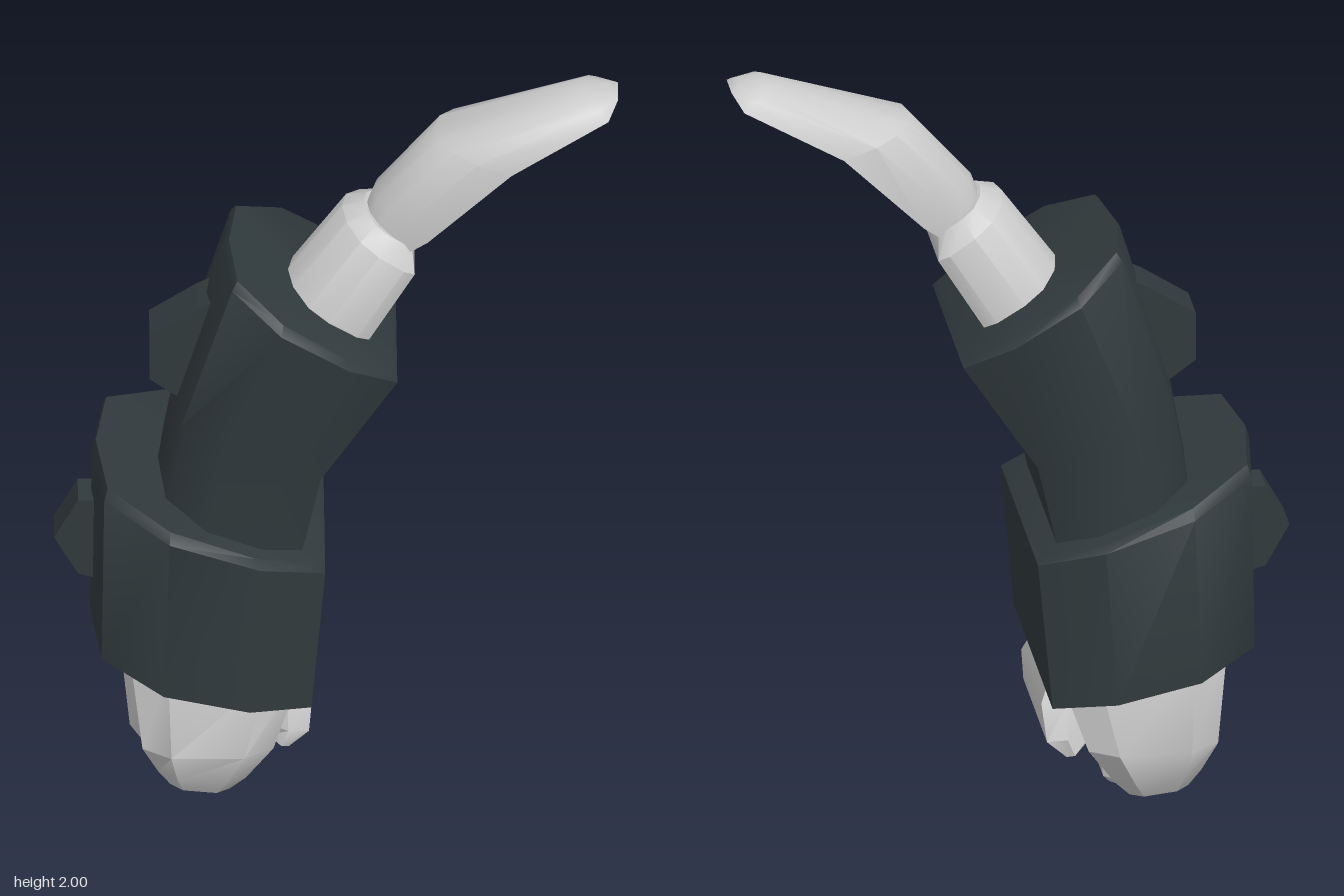
import * as THREE from 'three';
import { toCreasedNormals } from 'three/addons/utils/BufferGeometryUtils.js';

const grey = new THREE.MeshStandardMaterial({ color: 0xcccccc });
const dark = new THREE.MeshStandardMaterial({ color: 0x30393c });

// Half outlines [u, w]: u runs from the back edge (0) to the front edge (1), w is the half width.
const SLEEVE = [[0, 0], [0.05, 0.62], [0.33, 0.97], [0.72, 1], [1, 0.82]];
const NECK = [[0, 0], [0.06, 0.45], [0.25, 0.85], [0.5, 1], [0.85, 1], [1, 0.88]];
const BLADE = [[0, 0], [0.06, 0.4], [0.25, 0.72], [0.55, 0.93], [1, 1]];
const JAW = [[0, 0.6], [0.22, 1], [0.78, 1], [1, 0.6]];
const PLATE = [[0, 0.8], [0.6, 1], [1, 0.95]];

// Mirrors a half outline into a closed loop.
function closed(half) {
  const back = half.filter(([, w]) => w > 0).reverse().map(([u, w]) => [u, -w]);
  return [...half, ...back];
}

// Lofts an outline through rings [backX, backY, frontX, frontY, halfWidth, centreZ].
function loft(half, rings, crease = 0.75) {
  const outline = closed(half);
  const n = outline.length;
  const loops = rings.map(([bx, by, fx, fy, h, cz = 0]) =>
    outline.map(([u, w]) => [bx + (fx - bx) * u, by + (fy - by) * u, cz + w * h]));
  const pos = [];
  const tri = (...p) => p.forEach((v) => pos.push(...v));
  const middle = (r) => [(r[0] + r[2]) / 2, (r[1] + r[3]) / 2, r[5] || 0];
  const last = loops.length - 1;
  for (let j = 0; j < n; j++) {
    const k = (j + 1) % n;
    for (let i = 0; i < last; i++) {
      const a = loops[i], b = loops[i + 1];
      tri(a[j], a[k], b[k]);
      tri(a[j], b[k], b[j]);
    }
    tri(middle(rings[0]), loops[0][k], loops[0][j]);
    tri(middle(rings[last]), loops[last][j], loops[last][k]);
  }
  const geo = new THREE.BufferGeometry();
  geo.setAttribute('position', new THREE.Float32BufferAttribute(pos, 3));
  return toCreasedNormals(geo, crease);
}

// Flat fin cut from a side profile.
function fin(points, width) {
  const shape = new THREE.Shape(points.map(([x, y]) => new THREE.Vector2(x, y)));
  const geo = new THREE.ExtrudeGeometry(shape, { depth: width, bevelEnabled: false });
  return geo.translate(0, 0, -width / 2);
}

export function createModel() {
  const model = new THREE.Group();
  const add = (name, geo, mat) => {
    const mesh = new THREE.Mesh(geo, mat);
    mesh.name = name;
    model.add(mesh);
  };

  // Wide cuff with a softened top rim
  add('lowerCuff', loft(SLEEVE, [
    [-0.62, 0.44, -0.065, 0.335, 0.38],
    [-0.615, 0.91, -0.03, 0.73, 0.365],
    [-0.605, 0.94, -0.045, 0.745, 0.34],
  ]), dark);

  // Bent sleeve
  add('upperSleeve', loft(SLEEVE, [
    [-0.46, 0.82, -0.1, 0.7, 0.29],
    [-0.41, 1.1, -0.04, 0.97, 0.285],
    [-0.285, 1.52, 0.152, 1.27, 0.305],
    [-0.27, 1.54, 0.14, 1.29, 0.28],
  ]), dark);

  // Fins along the back edge
  add('lowerFin', fin([[-0.58, 0.79], [-0.65, 0.79], [-0.71, 0.68], [-0.65, 0.57], [-0.58, 0.55]], 0.1), dark);
  add('upperFin', fin([[-0.31, 1.39], [-0.35, 1.37], [-0.47, 1.29], [-0.47, 1.16], [-0.39, 1.1], [-0.36, 1.15]], 0.12), dark);

  // Neck and its tapered shoulder
  add('neck', loft(NECK, [
    [-0.17, 1.38, 0.03, 1.24, 0.16],
    [0.015, 1.64, 0.197, 1.515, 0.145],
    [0.07, 1.655, 0.19, 1.575, 0.1],
  ]), grey);

  // Curved blade with a flat underside
  add('blade', loft(BLADE, [
    [0.075, 1.64, 0.18, 1.56, 0.1],
    [0.095, 1.695, 0.23, 1.6, 0.112],
    [0.25, 1.875, 0.44, 1.82, 0.145],
    [0.62, 2.0, 0.685, 1.945, 0.09],
    [0.685, 1.993, 0.71, 1.98, 0.04],
  ]), grey);

  // Closed jaws below the cuff
  add('jawCore', loft(JAW, [
    [-0.4, 0.16, -0.24, 0.16, 0.13],
    [-0.5, 0.42, -0.13, 0.4, 0.24],
  ]), grey);
  add('backJaw', loft(JAW, [
    [-0.37, 0.015, -0.25, 0, 0.09],
    [-0.46, 0.05, -0.23, 0.03, 0.14],
    [-0.52, 0.14, -0.22, 0.11, 0.145],
    [-0.55, 0.46, -0.26, 0.42, 0.2],
  ], 0.5), grey);
  add('frontJaw', loft(PLATE, [
    [-0.17, 0.155, -0.12, 0.14, 0.2],
    [-0.2, 0.2, -0.07, 0.185, 0.2],
    [-0.22, 0.28, -0.06, 0.28, 0.17],
    [-0.22, 0.42, -0.11, 0.4, 0.12],
  ], 0.5), grey);
  for (const [name, s] of [['leftJaw', 1], ['rightJaw', -1]]) {
    add(name, loft(JAW, [
      [-0.42, 0.07, -0.27, 0.055, 0.065, s * 0.215],
      [-0.45, 0.12, -0.23, 0.1, 0.09, s * 0.22],
      [-0.49, 0.2, -0.16, 0.2, 0.12, s * 0.22],
      [-0.52, 0.44, -0.09, 0.4, 0.14, s * 0.165],
    ], 0.5), grey);
  }
  return model;
}
